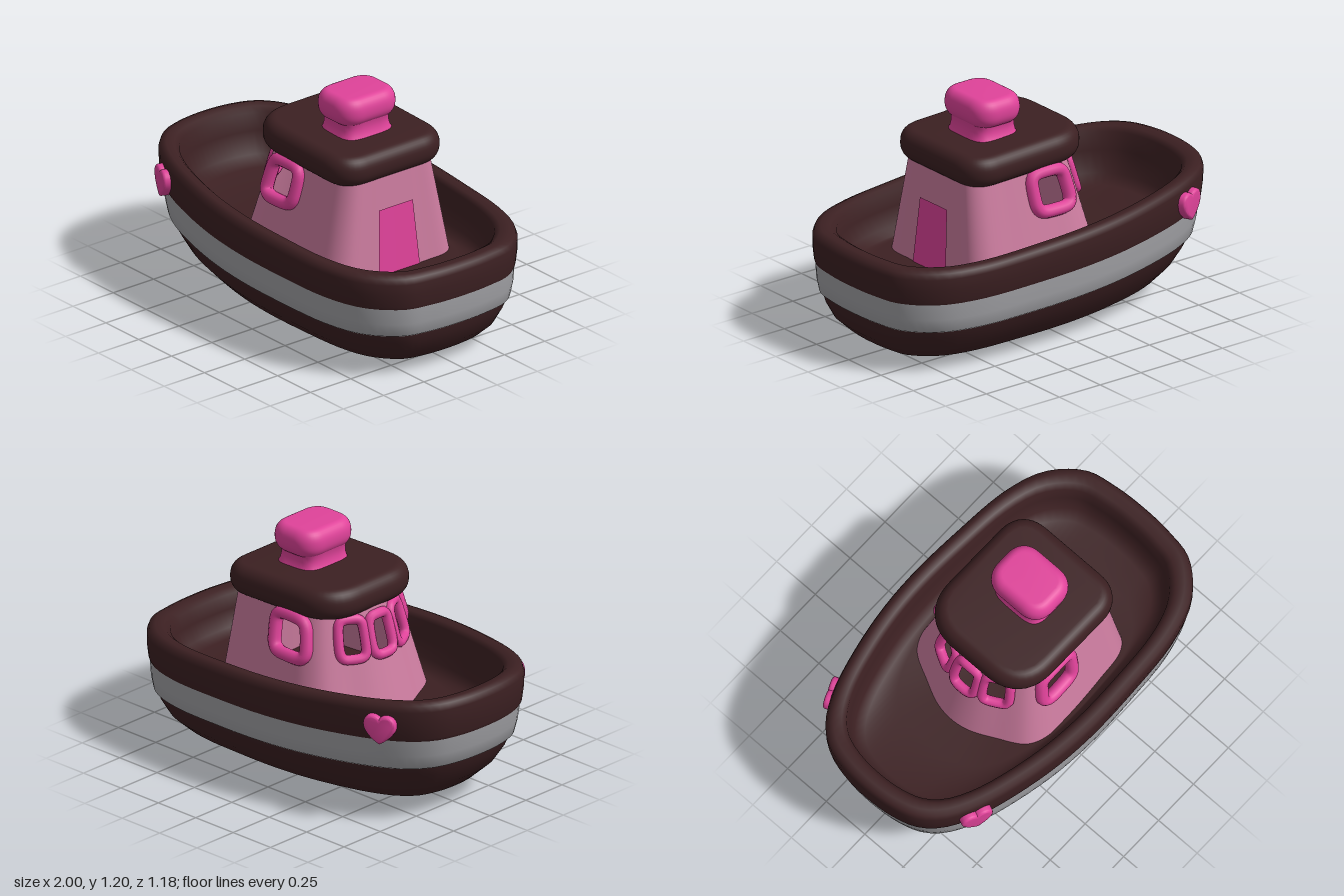
import * as THREE from 'three';
import { toCreasedNormals } from 'three/addons/utils/BufferGeometryUtils.js';

const material = (name, color) => {
  const m = new THREE.MeshStandardMaterial({ color, side: THREE.DoubleSide });
  m.name = name;
  return m;
};

// Closed plan outline from half of its points, mirrored in z; starts at +x and runs through +z
function outline(half) {
  const back = half.slice(1, -1).reverse().map(([x, z]) => [x, -z]);
  return new THREE.CatmullRomCurve3([...half, ...back].map(([x, z]) => new THREE.Vector3(x, 0, z)), true);
}

// Surface over a grid, u columns by v rows; keep(u, v) can leave cells open
function surface(cols, rows, closed, point, keep = () => true) {
  const pos = [], index = [], w = closed ? cols : cols + 1;
  for (let j = 0; j <= rows; j++)
    for (let i = 0; i < w; i++) pos.push(...point(i / cols, j).toArray());
  for (let j = 0; j < rows; j++)
    for (let i = 0; i < cols; i++) {
      if (!keep((i + 0.5) / cols, j + 0.5)) continue;
      const n = (i + 1) % w, a = j * w + i, b = j * w + n, c = b + w, d = a + w;
      index.push(a, d, c, a, c, b);
    }
  const g = new THREE.BufferGeometry();
  g.setAttribute('position', new THREE.Float32BufferAttribute(pos, 3));
  g.setIndex(index);
  g.computeVertexNormals();
  return g;
}

// Hull band lofted through levels [bow x, stern x, half width, height, rise at bow]
const hullPlan = outline([[1, 0], [0.99, 0.3], [0.95, 0.58], [0.8, 0.83], [0.6, 0.94], [0.3, 0.985], [0, 1],
  [-0.25, 0.97], [-0.5, 0.89], [-0.7, 0.79], [-0.85, 0.66], [-0.94, 0.5], [-0.985, 0.28], [-1, 0]]);
function hullBand(levels) {
  return surface(96, levels.length - 1, true, (u, j) => {
    const [x0, x1, w, y, rise] = levels[j], p = hullPlan.getPointAt(u);
    const x = (x0 + x1) / 2 + (x1 - x0) / 2 * p.x;
    return new THREE.Vector3(x, y + rise * Math.pow(Math.max(0, (1 - x) / 2), 1.5), w * p.z);
  });
}

// Cabin wall: plan at the deck shrinking towards the roof
const cabinPlan = outline([[0.5, 0], [0.5, 0.17], [0.49, 0.31], [0.43, 0.37], [0.25, 0.395], [0, 0.41],
  [-0.15, 0.405], [-0.24, 0.36], [-0.32, 0.22], [-0.375, 0.1], [-0.39, 0]]);
const cabinLength = cabinPlan.getLength();
const FLOOR = 0.32, CEILING = 0.92;
function wallPoint(a, y, off = 0) {
  const at = u => cabinPlan.getPointAt(((u % 1) + 1) % 1), t = (y - 0.33) / 0.53, p = at(a);
  const d = at(a + 0.002).sub(at(a - 0.002)).normalize();
  return new THREE.Vector3(0.055 + 0.055 * t + (p.x - 0.055) * (1 - 0.215 * t) + d.z * off,
    y, p.z * (1 - 0.28 * t) - d.x * off);
}
const around = y => cabinLength * (1 - 0.25 * (y - 0.33) / 0.53);

// Block with rounded plan corners and soft edges
function pillow(x0, x1, halfZ, height, rLeft, rRight, size, thick) {
  const a = x0 + size, b = x1 - size, w = halfZ - size, s = new THREE.Shape();
  s.moveTo(a + rLeft, -w);
  s.lineTo(b - rRight, -w);
  s.quadraticCurveTo(b, -w, b, -w + rRight);
  s.lineTo(b, w - rRight);
  s.quadraticCurveTo(b, w, b - rRight, w);
  s.lineTo(a + rLeft, w);
  s.quadraticCurveTo(a, w, a, w - rLeft);
  s.lineTo(a, -w + rLeft);
  s.quadraticCurveTo(a, -w, a + rLeft, -w);
  const g = new THREE.ExtrudeGeometry(s, { depth: height - 2 * thick, bevelSize: size, bevelThickness: thick,
    bevelSegments: 8, curveSegments: 10 });
  g.translate(0, 0, thick).rotateX(-Math.PI / 2);
  return toCreasedNormals(g, 0.6);
}

export function createModel() {
  const model = new THREE.Group();
  const brown = material('dark brown', 0x3c2022), grey = material('grey', 0xa2a2a6);
  const pale = material('pale pink', 0xcc7c9f), hot = material('hot pink', 0xe0439a);
  const add = (name, geometry, mat, parent = model) => {
    const m = new THREE.Mesh(geometry, mat);
    m.name = name;
    parent.add(m);
    return m;
  };

  // Hull
  add('lowerHull', hullBand([[0.19, 0.19, 0, 0, 0], [-0.32, 0.7, 0.22, 0, 0], [-0.335, 0.715, 0.23, 0.012, 0],
    [-0.62, 0.78, 0.34, 0.02, 0.025], [-0.77, 0.86, 0.42, 0.055, 0.04], [-0.85, 0.915, 0.48, 0.11, 0.06],
    [-0.905, 0.95, 0.525, 0.185, 0.07], [-0.925, 0.96, 0.543, 0.228, 0.08]]), brown);
  add('hullStripe', hullBand([[-0.92, 0.955, 0.54, 0.224, 0.08], [-0.945, 0.972, 0.558, 0.235, 0.08],
    [-0.965, 0.985, 0.567, 0.3, 0.085], [-0.978, 0.99, 0.572, 0.382, 0.09]]), grey);
  add('bulwarkAndDeck', hullBand([[-0.976, 0.988, 0.57, 0.376, 0.09], [-0.988, 0.995, 0.578, 0.395, 0.09],
    [-0.997, 1, 0.587, 0.46, 0.1], [-1, 1, 0.588, 0.515, 0.115], [-0.99, 0.99, 0.58, 0.542, 0.12],
    [-0.96, 0.962, 0.556, 0.554, 0.12], [-0.92, 0.92, 0.52, 0.55, 0.12], [-0.895, 0.89, 0.5, 0.53, 0.12],
    [-0.88, 0.875, 0.49, 0.46, 0.1], [-0.855, 0.855, 0.472, 0.375, 0.07], [-0.8, 0.8, 0.43, 0.35, 0.05],
    [-0.55, 0.65, 0.42, 0.345, 0.03], [0.05, 0.05, 0, 0.34, 0]]), brown);

  // Cabin windows: one on each side, three around the front
  let side = 0;
  while (wallPoint(side, 0.735).x > 0.02) side += 0.001;
  const step = 0.168 / around(0.735);
  const windows = [[side, 0.1, 0.097, 0.034], [1 - side, 0.1, 0.097, 0.034]]
    .concat([-1, 0, 1].map(k => [0.5 + k * step, 0.068, 0.095, 0.026]))
    .map(([a, w, h, r]) => ({ a, w, h, r, y: 0.738 }));

  // Cabin walls with open windows
  const rows = 44, height = j => FLOOR + (CEILING - FLOOR) * j / rows;
  add('cabinWall', surface(200, rows, true, (u, j) => wallPoint(u, height(j)), (u, j) => {
    const y = height(j);
    return windows.every(q => ((u - q.a) * around(q.y) / q.w) ** 4 + ((y - q.y) / q.h) ** 4 > 1);
  }), pale);

  // Window frames
  windows.forEach(q => {
    const soft = v => Math.sign(v) * Math.sqrt(Math.abs(v)), points = [];
    for (let i = 0; i < 32; i++) {
      const t = (i + 0.5) / 32 * Math.PI * 2;
      points.push(wallPoint(q.a + q.w * soft(Math.cos(t)) / around(q.y), q.y + q.h * soft(Math.sin(t)), 0.003));
    }
    add('windowFrame', new THREE.TubeGeometry(new THREE.CatmullRomCurve3(points, true), 64, q.r, 10, true), hot);
  });

  // Door at the stern end of the cabin
  add('door', surface(12, 10, false, (u, j) =>
    wallPoint((u - 0.5) * 0.23 / around(0.55), 0.335 + 0.0345 * j, 0.007)), hot);

  // Roof
  const roof = add('roof', pillow(-0.375, 0.375, 0.335, 0.155, 0.17, 0.1, 0.06, 0.072), brown);
  roof.position.set(0.118, 0.84, 0);
  roof.rotation.z = -0.03;

  // Funnel: flared neck and soft cap
  const neck = add('funnelNeck', surface(48, 4, true, (u, j) => {
    const t = u * Math.PI * 2, soft = v => Math.sign(v) * Math.sqrt(Math.abs(v));
    const k = [1.1, 1, 0.96, 0.96, 1.02][j];
    return new THREE.Vector3(0.125 * k * soft(Math.cos(t)), 0.026 * j, 0.145 * k * soft(Math.sin(t)));
  }), hot);
  neck.position.set(0.18, 0.975, 0);
  add('funnelCap', pillow(-0.143, 0.143, 0.177, 0.142, 0.06, 0.06, 0.05, 0.066), hot).position.set(0.182, 1.056, 0);

  // Heart on each side of the bow
  const heart = new THREE.Shape();
  heart.moveTo(0, -0.062);
  heart.bezierCurveTo(-0.03, -0.045, -0.07, -0.01, -0.07, 0.025);
  heart.bezierCurveTo(-0.07, 0.07, -0.012, 0.07, 0, 0.035);
  heart.bezierCurveTo(0.012, 0.07, 0.07, 0.07, 0.07, 0.025);
  heart.bezierCurveTo(0.07, -0.01, 0.03, -0.045, 0, -0.062);
  const heartGeometry = toCreasedNormals(new THREE.ExtrudeGeometry(heart, { depth: 0.04, bevelSize: 0.013,
    bevelThickness: 0.015, bevelSegments: 4, curveSegments: 10 }), 0.7);
  for (const s of [1, -1]) {
    const h = add(s > 0 ? 'frontHeart' : 'backHeart', heartGeometry, hot);
    h.position.set(-0.705, 0.52, s * 0.437);
    h.rotation.y = s > 0 ? -0.4 : Math.PI + 0.4;
  }
  return model;
}
